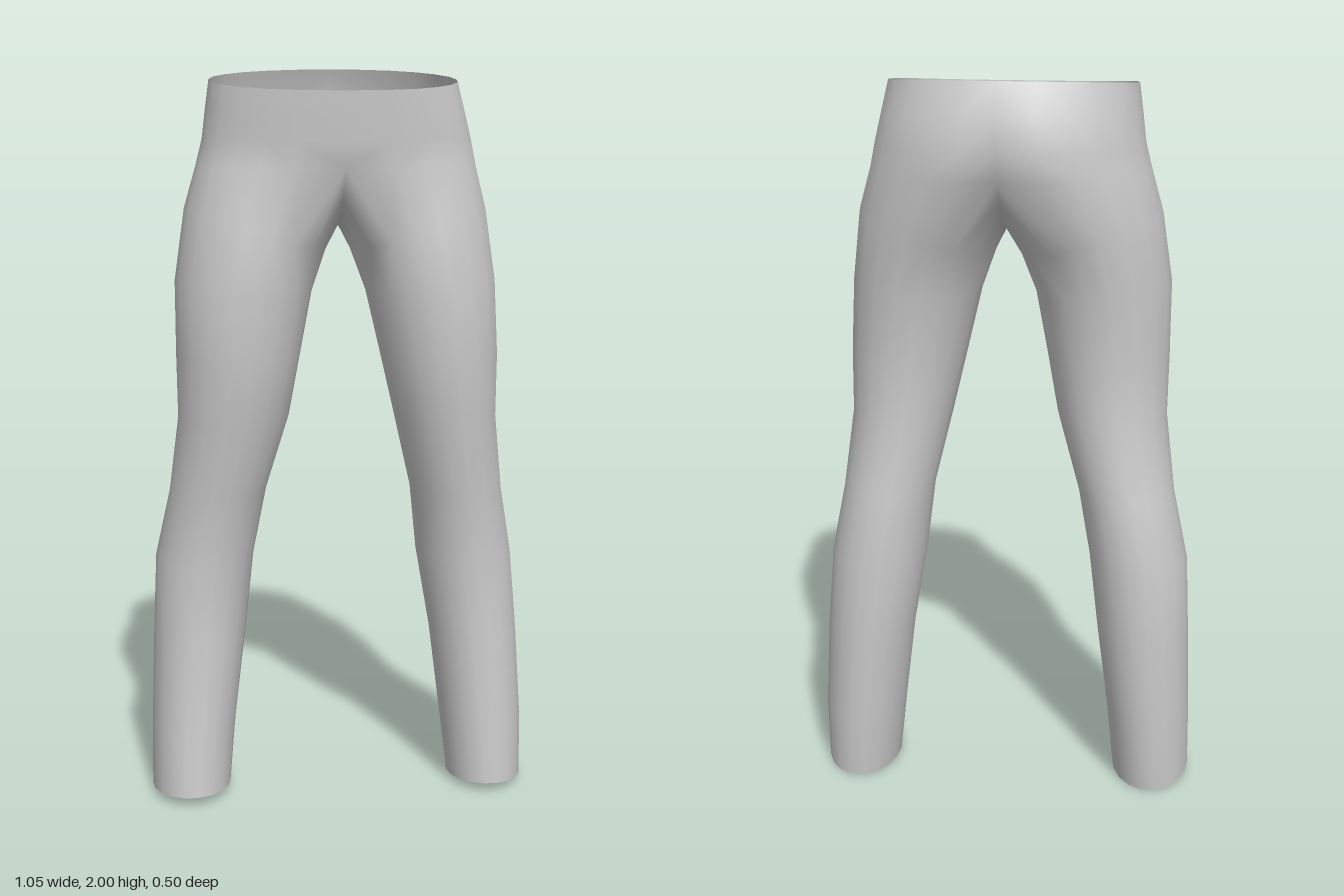
import * as THREE from 'three';
import { mergeVertices } from 'three/addons/utils/BufferGeometryUtils.js';

const N = 18;          // points round a leg
const ARC = 12;        // segments from front centre to back centre round the hip

// Hip rows, waist down: y, y tilt, x on -x side, x on +x side, front z, back z, cleft depth
const HIPS = [
  [1.972, -0.027, 0.342, 0.312, 0.255, -0.207, 0],
  [1.9, -0.012, 0.352, 0.33, 0.25, -0.243, 0.005],
  [1.82, 0, 0.362, 0.35, 0.242, -0.258, 0.017],
  [1.75, 0, 0.38, 0.365, 0.235, -0.25, 0.035],
];

// Crotch seam on x = 0, back to front: y, z
const SEAM = [[1.69, -0.17], [1.63, -0.1], [1.59, 0], [1.615, 0.08], [1.665, 0.155]];

// Leg rows: outer y, outer x, inner y, inner x, front z, back z
const LEG_PLUS = [
  [1.64, 0.395, 1.53, 0.03, 0.235, -0.187],
  [1.45, 0.42, 1.42, 0.07, 0.24, -0.15],
  [1.25, 0.43, 1.25, 0.11, 0.23, -0.138],
  [1.08, 0.43, 1.08, 0.15, 0.205, -0.13],
  [0.87, 0.455, 0.87, 0.2, 0.165, -0.153],
  [0.68, 0.49, 0.68, 0.222, 0.137, -0.175],
  [0.45, 0.51, 0.45, 0.262, 0.135, -0.165],
  [0.2, 0.525, 0.2, 0.293, 0.145, -0.16],
  [0.015, 0.525, 0.015, 0.315, 0.15, -0.14],
];
const LEG_MINUS = [
  [1.64, 0.412, 1.53, 0.035, 0.235, -0.187],
  [1.45, 0.44, 1.42, 0.075, 0.24, -0.15],
  [1.25, 0.44, 1.25, 0.107, 0.23, -0.138],
  [1.08, 0.438, 1.08, 0.138, 0.205, -0.13],
  [0.87, 0.465, 0.87, 0.2, 0.165, -0.153],
  [0.68, 0.507, 0.68, 0.236, 0.137, -0.175],
  [0.45, 0.518, 0.45, 0.262, 0.138, -0.165],
  [0.2, 0.527, 0.2, 0.293, 0.158, -0.155],
  [0.015, 0.53, 0.015, 0.31, 0.175, -0.135],
];

// Half a hip cross-section, from front centre round the side to back centre
function hipArc([y, tilt, xMinus, xPlus, zf, zb, cleft], side) {
  const points = [], zMid = 0.03, width = side > 0 ? xPlus : xMinus;
  for (let i = 0; i <= ARC; i++) {
    const a = Math.PI * (0.5 - i / ARC), s = Math.sin(a), c = Math.cos(a);
    const power = s > 0 ? 0.8 : 0.95;
    const x = i === 0 || i === ARC ? 0 : width * Math.pow(c, power);
    const depth = Math.pow(Math.abs(s), power) * (s > 0 ? zf - zMid : zb - zMid);
    const dip = s < 0 ? cleft * Math.exp(-((x / 0.06) ** 2)) : 0;
    points.push([side * x, y + tilt * s, zMid + depth + dip]);
  }
  return points;
}

// Closed leg cross-section, starting at the inner front
function legRing([yOut, xOut, yIn, xIn, zf, zb], side, tilt) {
  const points = [];
  for (let i = 0; i < N; i++) {
    const a = 2 * Math.PI * (1 / 3 - i / N), t = (1 + Math.cos(a)) / 2, s = Math.sin(a);
    points.push([
      side * (xIn + (xOut - xIn) * t),
      yIn + (yOut - yIn) * t + tilt * s,
      (zf + zb) / 2 + s * (zf - zb) / 2,
    ]);
  }
  return points;
}

// Joins each row of points to the next
function skin(rows, count, closed, side, out) {
  for (let r = 0; r + 1 < rows.length; r++) {
    for (let i = 0; i < (closed ? count : count - 1); i++) {
      const j = (i + 1) % count;
      const a = rows[r][i], b = rows[r][j], c = rows[r + 1][i], d = rows[r + 1][j];
      const tris = side > 0 ? [a, c, b, b, c, d] : [a, b, c, b, d, c];
      tris.forEach((p) => out.push(...p));
    }
  }
}

export function createModel() {
  const fabric = new THREE.MeshStandardMaterial({ color: 0xcccccc, side: THREE.DoubleSide });
  fabric.name = 'greyFabric';

  const positions = [];
  for (const side of [1, -1]) {
    // Seat and hips
    const hips = HIPS.map((row) => hipArc(row, side));
    skin(hips, ARC + 1, false, side, positions);

    // Leg, starting from the lowest hip arc closed by the crotch seam
    const top = [...hips[hips.length - 1], ...SEAM.map(([y, z]) => [0, y, z])];
    const table = side > 0 ? LEG_PLUS : LEG_MINUS;
    const rings = table.map((row, k) => legRing(row, side, k === table.length - 1 ? 0.014 : 0));
    skin([top, ...rings], N, true, side, positions);
  }

  // Weld both halves into one smooth cloth shell
  let geometry = new THREE.BufferGeometry();
  geometry.setAttribute('position', new THREE.Float32BufferAttribute(positions, 3));
  geometry = mergeVertices(geometry, 1e-4);
  geometry.computeVertexNormals();

  const trousers = new THREE.Mesh(geometry, fabric);
  trousers.name = 'trousers';
  const group = new THREE.Group();
  group.name = 'trousersModel';
  group.add(trousers);
  return group;
}
